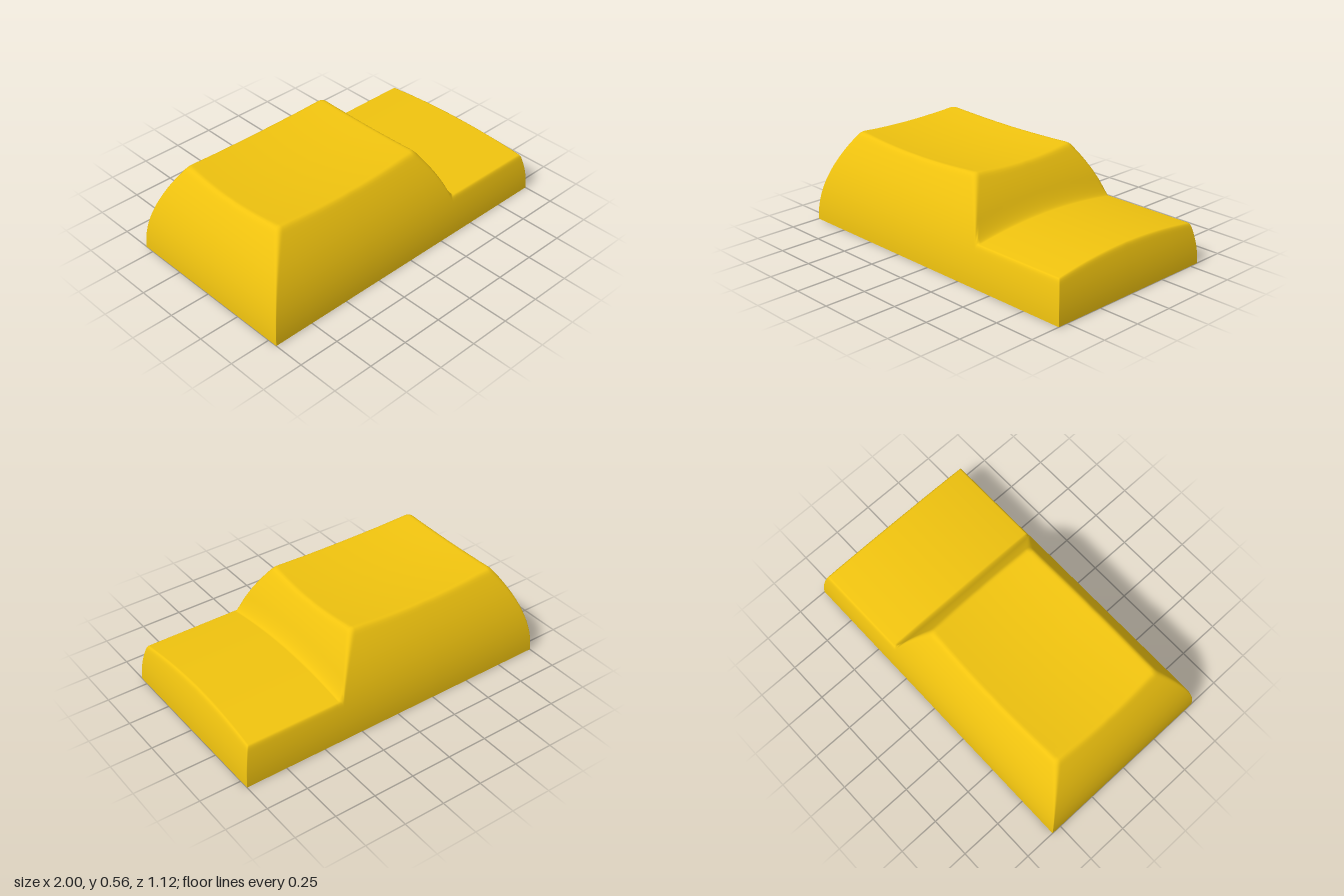
import * as THREE from 'three';
import { toCreasedNormals } from 'three/addons/utils/BufferGeometryUtils.js';

// Smooth minimum and maximum, giving the small edge fillets
const smin = (a, b, k) => {
  const h = k > 0 ? Math.max(k - Math.abs(a - b), 0) / k : 0;
  return Math.min(a, b) - h * h * k / 4;
};
const smax = (a, b, k) => -smin(-a, -b, k);

// Both skins: base half sizes, base line of the wall above the step, wall curvatures,
// top surfaces, and the fillets of corners, top edges and the step's inner corner
const OUTER = {
  endX: 1, halfZ: 0.56, stepX: 0.392, bulgeX: 0.62, bulgeZ: 0.59, maxY: 0.6, steps: 40,
  raisedTop: (x, z) => 0.519 + 0.0225 * (((x + 0.3) / 0.5) ** 2 + (z / 0.37) ** 2),
  ledgeTop: (x, z) => 0.279 - 0.14 * z * z,
  corner: 0.09, edge: 0.025, valley: 0.1,
};
const HOLLOW = {
  endX: 0.9, halfZ: 0.46, stepX: 0.385, bulgeX: 1.1, bulgeZ: 1.1, maxY: 0.41, steps: 41,
  raisedTop: () => 0.41,
  ledgeTop: () => 0.15,
  corner: 0, edge: 0, valley: 0,
};

// Height of a bulging wall at a distance inside its base line
const wall = (d, bulge) => Math.sqrt(Math.max(d, 0) / bulge);

function height(x, z, s) {
  const meet = (a, b) => smin(a, b, s.corner * Math.min(a, b));
  const walls = meet(wall(s.halfZ - Math.abs(z), s.bulgeZ), wall(s.endX - Math.abs(x), s.bulgeX));
  const edge = Math.min(s.edge, walls * 0.3);
  const raised = smin(meet(walls, wall(s.stepX - x, s.bulgeX)), s.raisedTop(x, z), edge);
  const ledge = smin(walls, s.ledgeTop(x, z), edge);
  // the valley fillet fades out towards the side walls
  const room = Math.max(walls - Math.max(raised, ledge), 0);
  return smax(raised, ledge, Math.min(s.valley, room * 2));
}

// Evenly spaced values from a to b, without b
const span = (a, b, n) => Array.from({ length: n }, (_, i) => a + (b - a) * i / n);

// Height surface whose grid lines follow the wall curves
function skin(s) {
  const ys = [...span(0, s.maxY, s.steps), s.maxY];
  const dx = ys.map(y => s.bulgeX * y * y), dz = ys.map(y => s.bulgeZ * y * y);
  const lastX = dx[s.steps], lastZ = dz[s.steps];
  const asc = (a, b) => a - b;
  const xs = [
    ...dx.map(d => d - s.endX), ...span(lastX - s.endX, s.stepX - lastX, 16).slice(1),
    ...dx.map(d => s.stepX - d), ...span(s.stepX + 0.01, s.endX - lastX, 14),
    ...dx.map(d => s.endX - d),
  ].sort(asc);
  const zs = [
    ...dz.map(d => d - s.halfZ), ...span(lastZ - s.halfZ, s.halfZ - lastZ, 18).slice(1),
    ...dz.map(d => s.halfZ - d),
  ].sort(asc);
  const pos = [], idx = [], n = zs.length;
  for (const x of xs) for (const z of zs) pos.push(x, height(x, z, s), z);
  for (let i = 0; i < xs.length - 1; i++) {
    for (let j = 0; j < n - 1; j++) {
      const a = i * n + j, b = a + 1, c = b + n, d = a + n;
      // split each cell along the corner ridges
      if ((xs[i] + 0.31) * (zs[j] + zs[j + 1]) > 0) idx.push(a, b, c, a, c, d);
      else idx.push(a, b, d, b, c, d);
    }
  }
  const g = new THREE.BufferGeometry();
  g.setAttribute('position', new THREE.Float32BufferAttribute(pos, 3));
  g.setIndex(idx);
  g.computeVertexNormals();
  return g;
}

// Flat underside ring between the two skins
function rim() {
  const rect = (Type, { endX: x, halfZ: z }) =>
    new Type([[-x, -z], [x, -z], [x, z], [-x, z]].map(p => new THREE.Vector2(...p)));
  const shape = rect(THREE.Shape, OUTER);
  shape.holes.push(rect(THREE.Path, HOLLOW));
  return new THREE.ShapeGeometry(shape).rotateX(Math.PI / 2);
}

export function createModel() {
  const group = new THREE.Group();
  group.name = 'steppedCap';
  const color = 0xf1c40f;
  const outside = new THREE.MeshStandardMaterial({ color });
  const inside = new THREE.MeshStandardMaterial({ color, side: THREE.DoubleSide });
  const add = (name, geometry, material) => {
    const m = new THREE.Mesh(geometry, material);
    m.name = name;
    group.add(m);
  };
  add('outerSkin', skin(OUTER), outside);
  add('hollow', toCreasedNormals(skin(HOLLOW), 0.4), inside);
  add('bottomRim', rim(), outside);
  return group;
}
